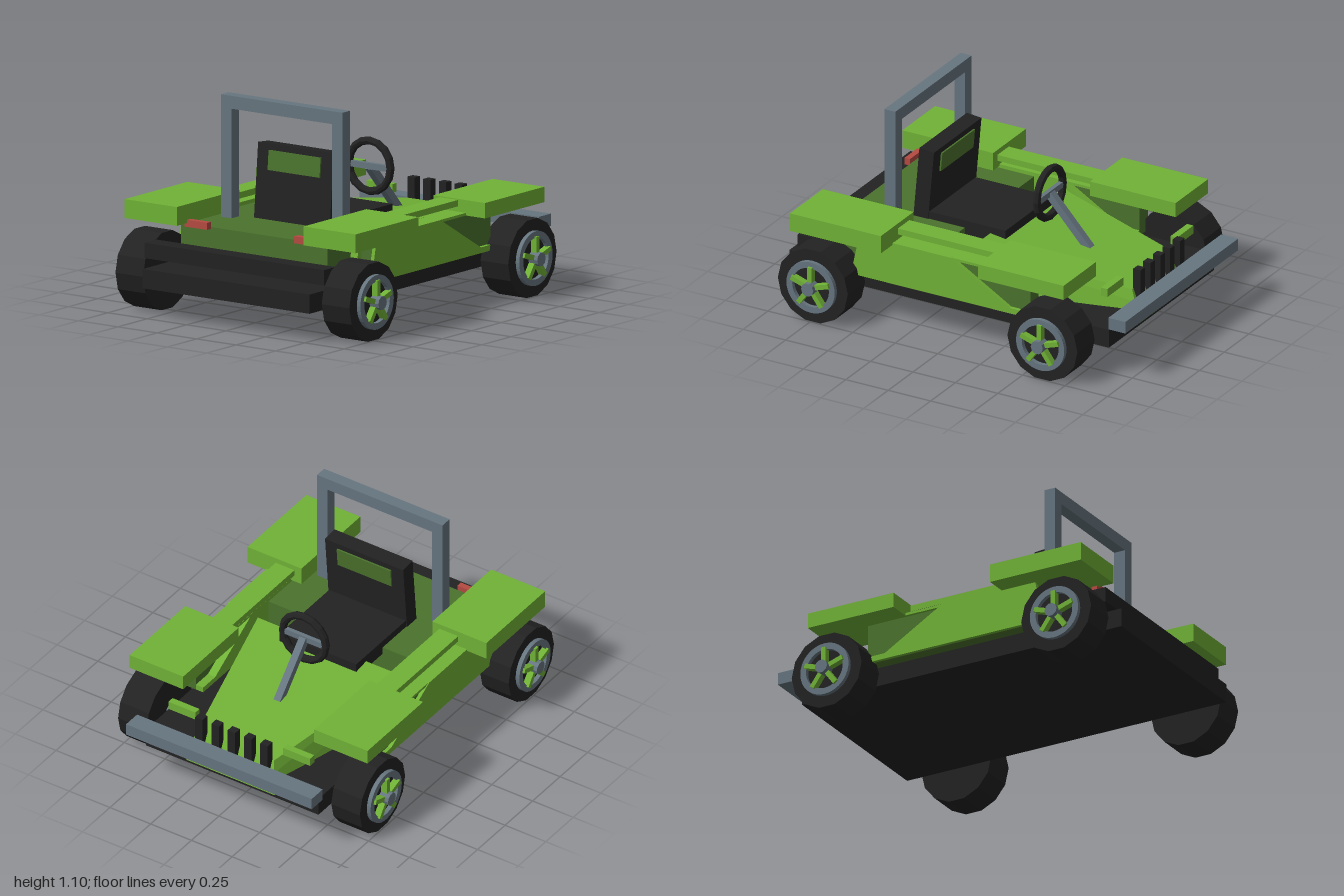
import * as THREE from 'three';
import { ConvexGeometry } from 'three/addons/geometries/ConvexGeometry.js';

const material = (name, color) => {
  const m = new THREE.MeshStandardMaterial({ color });
  m.name = name;
  return m;
};

export function createModel() {
  const car = new THREE.Group();
  car.name = 'buggy';
  const green = material('leaf green', 0x70b236);
  const darkGreen = material('dark green', 0x4a722d);
  const black = material('black', 0x222222);
  const grey = material('steel grey', 0x66757f);
  const red = material('lamp red', 0xb54a42);

  // Faceted mesh helper
  const add = (name, geometry, mat, parent = car) => {
    const g = geometry.index ? geometry.toNonIndexed() : geometry;
    g.computeVertexNormals();
    const mesh = new THREE.Mesh(g, mat);
    mesh.name = name;
    parent.add(mesh);
    return mesh;
  };
  // Box given by its limits on each axis
  const box = (name, mat, [x0, x1], [y0, y1], [z0, z1], parent = car) => {
    const mesh = add(name, new THREE.BoxGeometry(x1 - x0, y1 - y0, z1 - z0), mat, parent);
    mesh.position.set((x0 + x1) / 2, (y0 + y1) / 2, (z0 + z1) / 2);
    return mesh;
  };
  // The same box on both sides
  const pair = (name, mat, [x0, x1], y, z) => {
    box(name + 'Left', mat, [x0, x1], y, z);
    box(name + 'Right', mat, [-x1, -x0], y, z);
  };

  // Chassis, rear tub and bumpers
  box('chassis', black, [-0.53, 0.53], [0.16, 0.26], [-0.88, 1]);
  box('rearTub', darkGreen, [-0.465, 0.465], [0.28, 0.47], [0.14, 0.76]);
  box('rearBumper', black, [-0.57, 0.57], [0.3, 0.38], [0.83, 0.93]);
  box('frontBumper', grey, [-0.57, 0.57], [0.285, 0.35], [-1, -0.9]);

  // Tapered hood: half-width, height, depth of each corner
  const corners = [
    [0.44, 0.26, 0.045], [0.43, 0.475, -0.01], [0.235, 0.36, -0.845],
    [0.25, 0.3, -0.87], [0.27, 0.185, -0.895], [0.46, 0.26, -0.05],
  ];
  const points = corners.flatMap(([x, y, z]) =>
    [new THREE.Vector3(x, y, z), new THREE.Vector3(-x, y, z)]);
  add('hood', new ConvexGeometry(points), green);
  for (let i = -2; i <= 2; i++) {
    box('grilleBar', black, [i * 0.1 - 0.023, i * 0.1 + 0.023], [0.31, 0.47], [-0.887, -0.843]);
  }
  pair('headLamp', green, [0.27, 0.435], [0.39, 0.435], [-0.815, -0.777]);
  pair('tailLamp', red, [0.275, 0.42], [0.46, 0.497], [0.76, 0.792]);

  // Fenders and the rails that join them
  pair('frontFender', green, [0.402, 0.73], [0.475, 0.555], [-0.73, -0.225]);
  pair('rearFender', green, [0.402, 0.733], [0.48, 0.578], [0.345, 0.88]);
  pair('sideRail', green, [0.445, 0.56], [0.517, 0.55], [-0.225, 0.345]);

  // Side pods: skins around a dark core
  const sideShape = new THREE.Shape([
    [0.59, 0.26], [0.54, 0.49], [0, 0.49], [-0.345, 0.29], [-0.455, 0.29], [-0.455, 0.26],
  ].map(([z, y]) => new THREE.Vector2(z, y)));
  const skin = (name, x0, x1) => {
    const g = new THREE.ExtrudeGeometry(sideShape, { depth: x1 - x0, bevelEnabled: false });
    add(name, g.rotateY(-Math.PI / 2).translate(x1, 0, 0), green);
  };
  skin('outerSkinLeft', 0.595, 0.615);
  skin('outerSkinRight', -0.615, -0.595);
  skin('innerSkinLeft', 0.465, 0.51);
  skin('innerSkinRight', -0.51, -0.465);
  pair('podCore', darkGreen, [0.51, 0.595], [0.26, 0.475], [-0.455, 0.53]);
  pair('podTop', green, [0.465, 0.61], [0.475, 0.489], [-0.225, 0.535]);

  // Seat
  box('seatCushion', black, [-0.235, 0.235], [0.43, 0.51], [-0.1, 0.36]);
  const seatBack = new THREE.Group();
  seatBack.name = 'seatBack';
  seatBack.position.set(0, 0.655, 0.38);
  seatBack.rotation.x = -0.09;
  car.add(seatBack);
  box('backrest', black, [-0.24, 0.24], [-0.2, 0.2], [-0.043, 0.043], seatBack);
  box('backrestPanel', darkGreen, [-0.165, 0.165], [0.065, 0.168], [-0.052, 0.052], seatBack);

  // Roll bar
  pair('rollBarPost', grey, [0.32, 0.385], [0.46, 1.045], [0.462, 0.526]);
  box('rollBarTop', grey, [-0.385, 0.385], [1.04, 1.107], [0.462, 0.526]);

  // Steering wheel and column
  const wheelRing = add('steeringWheel', new THREE.TorusGeometry(0.132, 0.021, 8, 16), black);
  wheelRing.position.set(0, 0.658, -0.223);
  box('steeringSpoke', grey, [-0.125, 0.125], [0.642, 0.674], [-0.235, -0.212]);
  const from = new THREE.Vector3(0, 0.655, -0.225), to = new THREE.Vector3(0, 0.4, -0.46);
  const column = add('steeringColumn', new THREE.BoxGeometry(0.04, 0.04, from.distanceTo(to)), grey);
  column.position.copy(from).lerp(to, 0.5);
  column.lookAt(to);

  // Wheels: axis along x, outer side towards +x, then turned for the right side
  const ringShape = new THREE.Shape().absarc(0, 0, 0.142, 0, Math.PI * 2);
  ringShape.holes.push(new THREE.Path().absarc(0, 0, 0.108, 0, Math.PI * 2, true));
  const makeWheel = (name, side, z) => {
    const wheel = new THREE.Group();
    wheel.name = name;
    wheel.position.set(0, 0.206, z);
    wheel.rotation.y = side > 0 ? 0 : Math.PI;
    car.add(wheel);
    const drum = (part, r, x0, x1, sides, mat) => add(part,
      new THREE.CylinderGeometry(r, r, x1 - x0, sides)
        .rotateX(Math.PI / 2).rotateZ(Math.PI / 2).rotateY(0)
        .applyMatrix4(new THREE.Matrix4()), mat, wheel);
    const cylinder = (part, r, x0, x1, sides, mat) => {
      const g = new THREE.CylinderGeometry(r, r, x1 - x0, sides);
      g.rotateY(Math.PI / 2).rotateZ(-Math.PI / 2).rotateX(Math.PI / 2);
      return add(part, g.translate((x0 + x1) / 2, 0, 0), mat, wheel);
    };
    cylinder('tyre', 0.206, 0.567, 0.742, 14, black);
    cylinder('axle', 0.028, 0.4, 0.57, 10, grey);
    cylinder('hub', 0.036, 0.74, 0.8, 10, grey);
    const rim = new THREE.ExtrudeGeometry(ringShape, { depth: 0.025, bevelEnabled: false, curveSegments: 20 });
    add('rim', rim.rotateY(Math.PI / 2).translate(0.74, 0, 0), grey, wheel);
    for (let i = 0; i < 5; i++) {
      const g = new THREE.BoxGeometry(0.036, 0.09, 0.026).translate(0.76, 0.071, 0);
      add('spoke', g.rotateX(i * Math.PI * 2 / 5), green, wheel);
    }
  };
  for (const side of [1, -1]) {
    const label = side > 0 ? 'Left' : 'Right';
    makeWheel('frontWheel' + label, side, -0.612);
    makeWheel('rearWheel' + label, side, 0.74);
  }
  return car;
}
